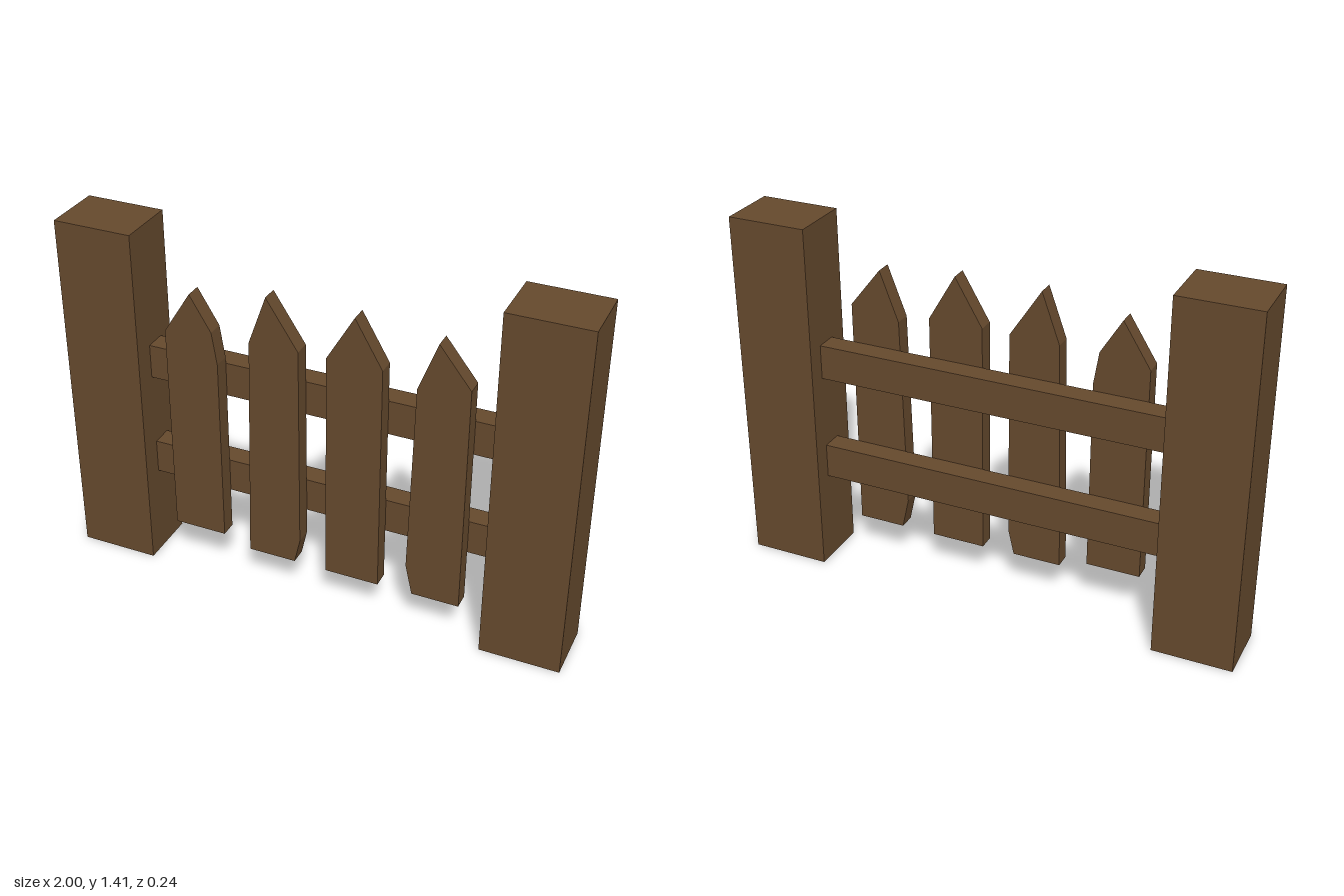
import * as THREE from 'three';

export function createModel() {
  const group = new THREE.Group();
  group.name = 'fence';
  const wood = new THREE.MeshStandardMaterial({ color: 0x65492d, side: THREE.DoubleSide });
  wood.name = 'brown wood';

  const add = (name, geometry, x = 0, y = 0, z = 0) => {
    const mesh = new THREE.Mesh(geometry, wood);
    mesh.name = name;
    mesh.position.set(x, y, z);
    group.add(mesh);
  };

  // Square posts, hollow and open underneath
  const postGeometry = new THREE.BoxGeometry(0.31, 1.415, 0.24);
  const index = Array.from(postGeometry.index.array);
  index.splice(18, 6); // drop the bottom face
  postGeometry.setIndex(index);
  postGeometry.clearGroups();
  add('leftPost', postGeometry, 0.845, 0.7075, 0);
  add('rightPost', postGeometry, -0.845, 0.7075, 0);

  // Horizontal rails between the posts
  const railGeometry = new THREE.BoxGeometry(1.38, 0.137, 0.085);
  add('lowerRail', railGeometry, 0, 0.433, -0.0075);
  add('upperRail', railGeometry, 0, 0.86, -0.0075);

  // Rough-cut pointed pickets, each outlined counter-clockwise
  const pickets = [
    [[-0.58, 0.195], [-0.37, 0.195], [-0.37, 0.955], [-0.39, 1.083], [-0.473, 1.22], [-0.58, 1.05]],
    [[-0.26, 0.157], [-0.07, 0.157], [-0.047, 0.26], [-0.047, 1.083], [-0.17, 1.273], [-0.24, 1.078]],
    [[0.06, 0.155], [0.273, 0.155], [0.273, 1.085], [0.167, 1.268], [0.06, 1.085]],
    [[0.41, 0.157], [0.595, 0.157], [0.595, 1.083], [0.473, 1.238], [0.4, 1.045], [0.383, 0.28]],
  ];
  pickets.forEach((outline, i) => {
    const shape = new THREE.Shape(outline.map(([x, y]) => new THREE.Vector2(x, y)));
    const geometry = new THREE.ExtrudeGeometry(shape, { depth: 0.065, bevelEnabled: false });
    add(`picket${i + 1}`, geometry, 0, 0, 0.035);
  });

  return group;
}
